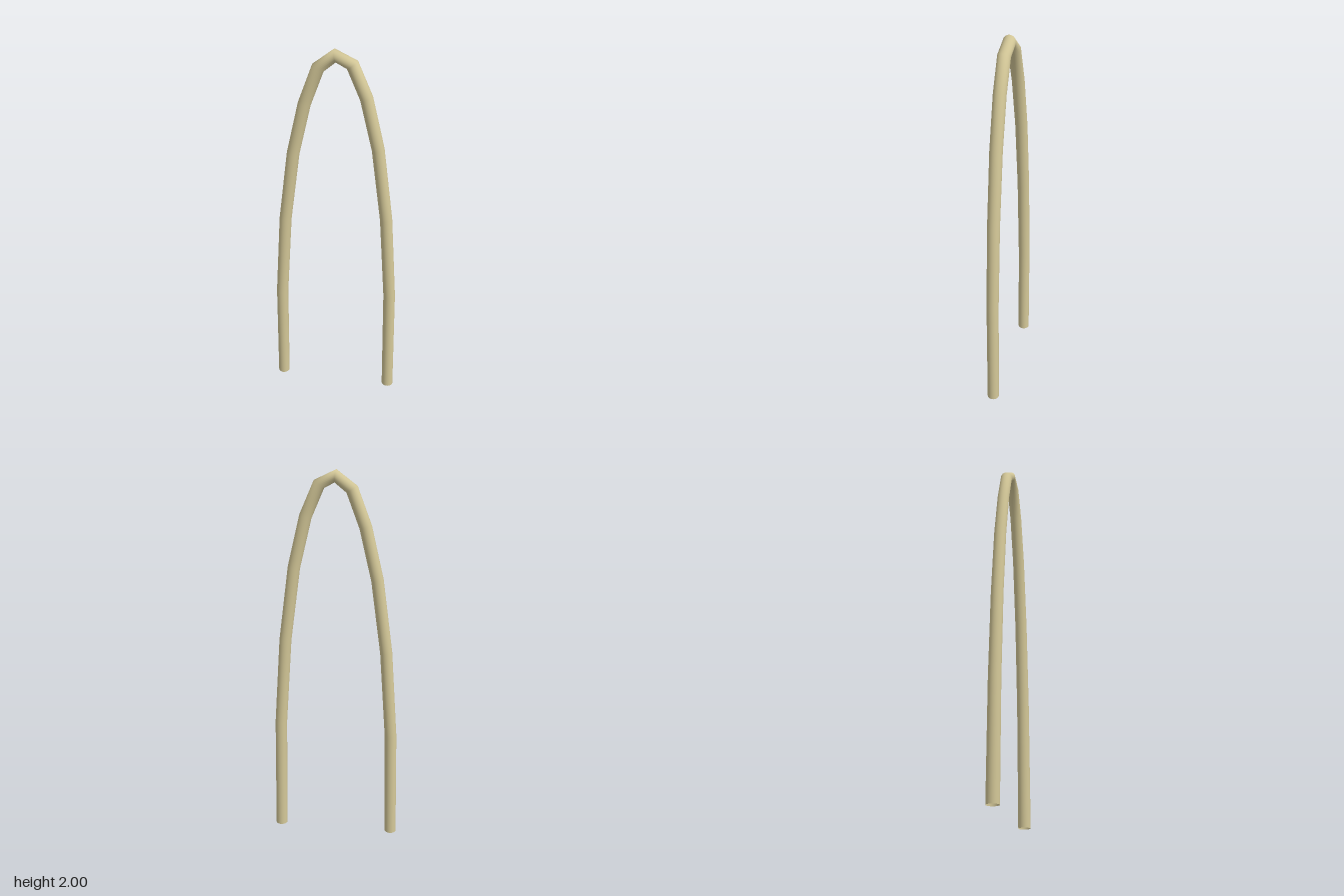
import * as THREE from 'three';

// Joints of the bent rod: distance along the arch's plane (as x) and height
const JOINTS = [
  [-0.308, 0], [-0.296, 0.595], [-0.262, 1.07], [-0.21, 1.455], [-0.148, 1.722], [-0.08, 1.905],
  [0, 1.968],
  [0.08, 1.928], [0.148, 1.77], [0.21, 1.51], [0.262, 1.12], [0.296, 0.64], [0.308, 0],
];
const SLANT = 0.225; // z per unit of x: the arch stands slightly turned
const RADIUS = 0.032;

// Straight runs between joints, each joint mitred between its neighbours
class JointedCurve extends THREE.Curve {
  constructor(points) {
    super();
    this.points = points;
  }
  getPoint(t, target = new THREE.Vector3()) {
    const last = this.points.length - 1;
    const i = Math.min(Math.floor(t * last + 1e-6), last - 1);
    return target.lerpVectors(this.points[i], this.points[i + 1], t * last - i);
  }
  getPointAt(t, target) {
    return this.getPoint(t, target);
  }
  getTangentAt(t, target = new THREE.Vector3()) {
    const last = this.points.length - 1;
    const i = Math.round(t * last);
    // Both feet are cut level with the ground
    if (i === 0) return target.set(0, 1, 0);
    if (i === last) return target.set(0, -1, 0);
    return target.subVectors(this.points[i + 1], this.points[i - 1]).normalize();
  }
}

export function createModel() {
  const group = new THREE.Group();
  group.name = 'arch';

  // Hollow rod, open at both feet
  const points = JOINTS.map(([x, y]) => new THREE.Vector3(x, y, x * SLANT));
  const rod = new THREE.Mesh(
    new THREE.TubeGeometry(new JointedCurve(points), points.length - 1, RADIUS, 24, false),
    new THREE.MeshStandardMaterial({ color: 0xd4c898, side: THREE.DoubleSide }),
  );
  rod.name = 'archRod';
  group.add(rod);
  return group;
}
